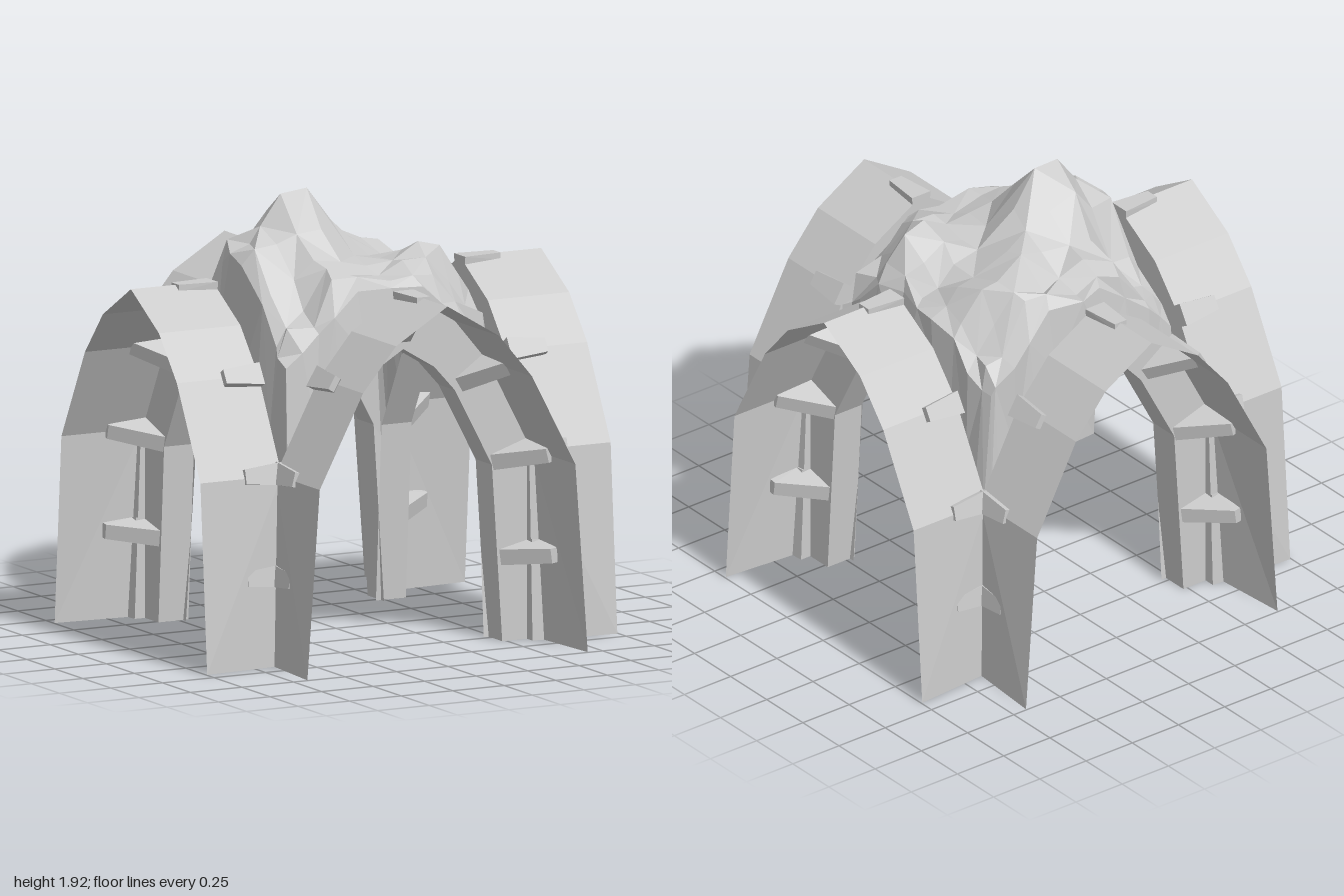
import * as THREE from 'three';
import { ConvexGeometry } from 'three/addons/geometries/ConvexGeometry.js';

const material = new THREE.MeshStandardMaterial({ color: 0xcccccc, flatShading: true, side: THREE.DoubleSide });

// Half profiles of the arch, from the ground to the crown
const mirrored = (half) => [...half, ...half.slice(0, -1).reverse().map(([x, y]) => [-x, y])];
const OUTER = mirrored([[0.65, 0], [0.62, 0.82], [0.41, 1.22], [0.25, 1.41], [0, 1.56]]);
const OUTER_END = OUTER.map(([x, y]) => [y === 0 ? Math.sign(x) * 0.68 : x, y]);
const INNER = mirrored([[0.48, 0], [0.43, 0.77], [0.25, 1.11], [0.15, 1.22], [0, 1.31]]);
const STEP = 0.6;

function mesh(name, geometry) {
  const m = new THREE.Mesh(geometry, material);
  m.name = name;
  return m;
}

// Faceted surface from rows of points
function loft(rows) {
  const pos = [];
  for (let i = 0; i < rows.length - 1; i++) {
    for (let j = 0; j < rows[i].length - 1; j++) {
      const a = rows[i][j], b = rows[i][j + 1], c = rows[i + 1][j + 1], d = rows[i + 1][j];
      if ((i * 7 + j * 3) % 2) pos.push(...a, ...b, ...c, ...a, ...c, ...d);
      else pos.push(...a, ...b, ...d, ...b, ...c, ...d);
    }
  }
  const g = new THREE.BufferGeometry();
  g.setAttribute('position', new THREE.Float32BufferAttribute(pos, 3));
  g.computeVertexNormals();
  return g;
}

const atDepth = (profile, z) => profile.map(([x, y]) => [x, y, z]);

// Wedge-shaped brace in the angle between the hood and the step face
function brace([ox, oy], [ix, iy]) {
  const dir = new THREE.Vector2(ix - ox, iy - oy).normalize();
  const pts = [];
  const pair = (x, y, z, w) => {
    for (const s of [-1, 1]) pts.push(new THREE.Vector3(x - dir.y * w * s, y + dir.x * w * s, z));
  };
  pair(ox, oy, STEP, 0.05);
  pair(ix, iy, STEP, 0.035);
  pair(ox, oy, 0.78, 0.032);
  pair(ox + dir.x * 0.03, oy + dir.y * 0.03, 0.78, 0.032);
  return mesh('brace', new ConvexGeometry(pts));
}

// One archway facing +z: outer hood, flat step face, inner reveal and braces
function archway() {
  const g = new THREE.Group();
  g.name = 'archway';
  g.add(mesh('archHood', loft([atDepth(OUTER, STEP), atDepth(OUTER_END, 0.995)])));
  g.add(mesh('archReveal', loft([atDepth(INNER, 0.455), atDepth(INNER, STEP)])));
  const face = new THREE.Shape([...OUTER, ...[...INNER].reverse()].map(([x, y]) => new THREE.Vector2(x, y)));
  const step = mesh('archFace', new THREE.ShapeGeometry(face));
  step.position.z = STEP;
  g.add(step);
  g.add(brace([0, 1.565], [0, 1.34]));
  const sides = [[0.445, 1.235, 0.27, 1.13], [0.63, 0.83, 0.43, 0.78], [0.65, 0.39, 0.47, 0.365]];
  for (const [ox, oy, ix, iy] of sides) {
    for (const s of [-1, 1]) g.add(brace([s * ox, oy], [s * ix, iy]));
  }
  return g;
}

// Height of the arch opening at a distance from its axis
function revealHeight(x) {
  const p = [[0, 1.31], [0.15, 1.22], [0.25, 1.11], [0.43, 0.77], [0.56, 0.6]];
  const ax = Math.min(Math.abs(x), 0.56);
  const i = Math.max(1, p.findIndex((q) => q[0] >= ax));
  const t = (ax - p[i - 1][0]) / (p[i][0] - p[i - 1][0]);
  return p[i - 1][1] + t * (p[i][1] - p[i - 1][1]);
}

// Summits, shoulders and hollows of the rock: x, z, height
const PEAKS = [
  [-0.16, 0, 1.93], [-0.27, 0.02, 1.9], [-0.4, 0.08, 1.72], [0.3, 0.25, 1.71], [0.2, 0.05, 1.6],
  [0.0, 0.38, 1.59], [-0.24, 0.3, 1.66], [0.08, 0.2, 1.62], [0.1, -0.2, 1.68], [0.26, -0.28, 1.64],
  [-0.18, -0.3, 1.68], [-0.4, -0.36, 1.4], [-0.4, 0.38, 1.4], [0.42, 0, 1.5], [0.42, 0.4, 1.42],
  [0.42, -0.4, 1.38], [0, -0.42, 1.56],
];
function rockHeight(x, z) {
  let sum = 0, weight = 0;
  for (const [px, pz, h] of PEAKS) {
    const w = 1 / ((x - px) ** 2 + (z - pz) ** 2 + 0.002) ** 1.6;
    sum += w * h;
    weight += w;
  }
  return sum / weight;
}

// Craggy rock filling the crossing, its corners running down into the piers
function rock() {
  let seed = 11;
  const rnd = () => {
    seed = (seed * 16807) % 2147483647;
    return seed / 2147483647 - 0.5;
  };
  const n = 12, rows = [];
  for (let i = 0; i <= n; i++) {
    const row = [];
    for (let j = 0; j <= n; j++) {
      const s = (2 * j) / n - 1, t = (2 * i) / n - 1;
      const m = Math.max(Math.abs(s), Math.abs(t));
      const spread = (q) => 0.51 * Math.sin((q * Math.PI) / 2);
      const corner = 1 + 0.05 * Math.abs(s * t) ** 3;
      const x = spread(s) * corner + (m < 1 ? rnd() * 0.05 : rnd() * 0.02);
      const z = spread(t) * corner + (m < 1 ? rnd() * 0.05 : rnd() * 0.02);
      const edge = revealHeight(Math.min(Math.abs(x), Math.abs(z))) + 0.03;
      const fall = m ** 8 * (m < 1 ? 0.75 : 1);
      const diagonal = 0.35 * Math.abs(s * t) ** 4;
      const top = rockHeight(x, z) - diagonal + (m < 1 ? rnd() * 0.05 : 0);
      row.push([x, top + (edge - top) * fall, z]);
    }
    rows.push(row);
  }
  return mesh('rock', loft(rows));
}

export function createModel() {
  const model = new THREE.Group();
  model.name = 'fourWayArch';
  for (let k = 0; k < 4; k++) {
    const arch = archway();
    arch.rotation.y = (k * Math.PI) / 2;
    model.add(arch);
  }
  model.add(rock());
  return model;
}
